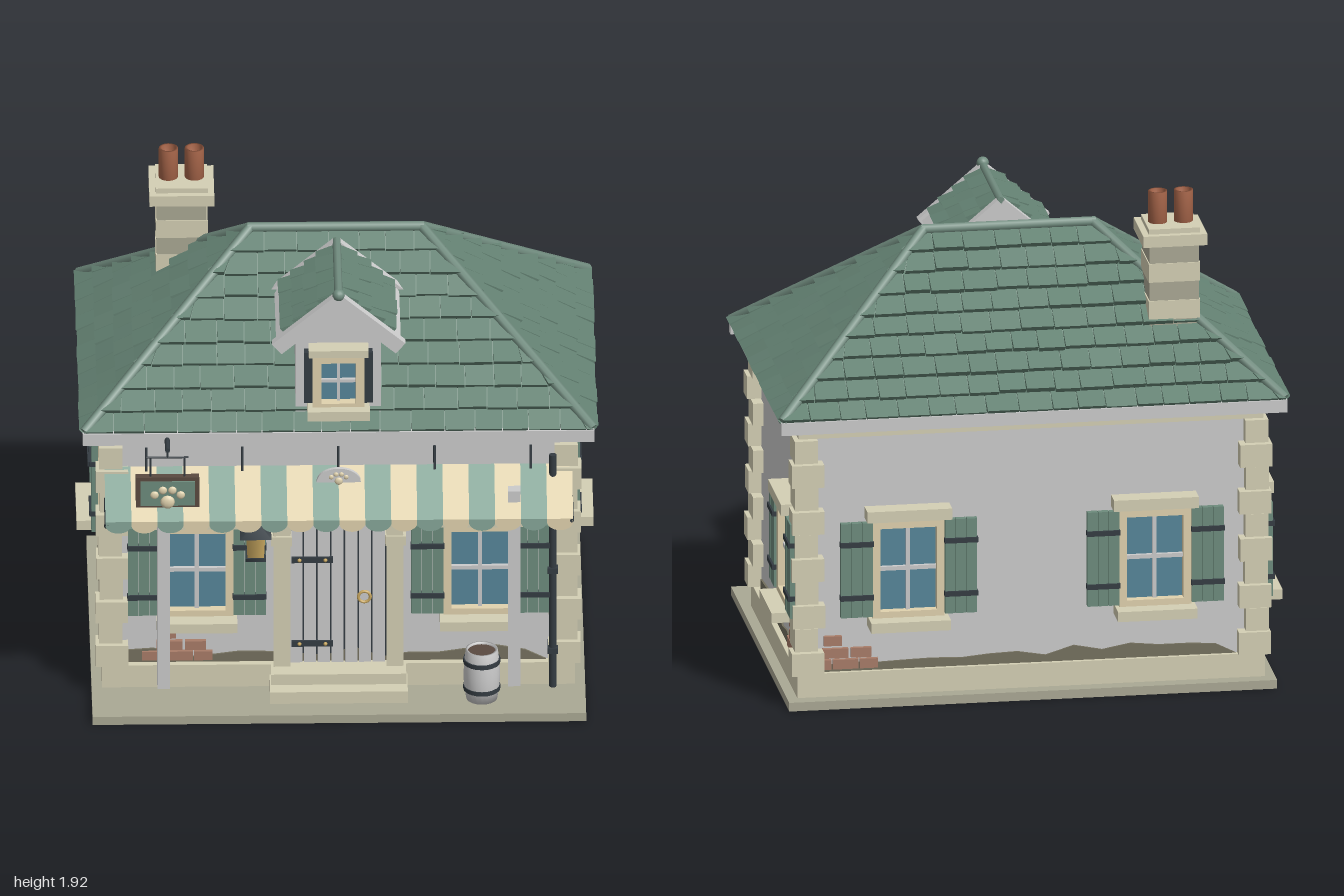
import * as THREE from 'three';
import { mergeGeometries } from 'three/addons/utils/BufferGeometryUtils.js';

const C = { wall: 0xcccccc, stone: 0xd4cfb4, slab: 0xaaa894, tile: 0x648273, ridge: 0x718c7f, green: 0x86a698, shutter: 0x6d8c7d,
  cream: 0xe0d2ae, glass: 0x56869a, iron: 0x343c42, brick: 0xa87c68, pot: 0xa8664a, dirt: 0x75715f, wood: 0x5a4a40, gold: 0xc9a860 };
const mats = {};
const mat = (c, two) => mats[c + (two ? 'd' : '')] ??= new THREE.MeshStandardMaterial({ color: c, side: two ? THREE.DoubleSide : THREE.FrontSide });

function add(parent, name, geo, color, x = 0, y = 0, z = 0, two = false) {
  const m = new THREE.Mesh(geo, mat(color, two));
  m.name = name;
  m.position.set(x, y, z);
  parent.add(m);
  return m;
}
function group(parent, name, x = 0, y = 0, z = 0, ry = 0) {
  const g = new THREE.Group();
  g.name = name;
  g.position.set(x, y, z);
  g.rotation.y = ry;
  parent.add(g);
  return g;
}
// box given by its min/max on each axis
const box = (p, name, c, x0, x1, y0, y1, z0, z1) =>
  add(p, name, new THREE.BoxGeometry(x1 - x0, y1 - y0, z1 - z0), c, (x0 + x1) / 2, (y0 + y1) / 2, (z0 + z1) / 2);
const cyl = (p, name, c, r, h, x, y, z, n = 16, r2 = r) => add(p, name, new THREE.CylinderGeometry(r2, r, h, n), c, x, y, z);
function rod(p, name, c, a, b, r) {
  const A = new THREE.Vector3(...a), B = new THREE.Vector3(...b), d = B.clone().sub(A);
  const m = cyl(p, name, c, r, d.length(), ...A.clone().add(B).multiplyScalar(0.5).toArray(), 8);
  m.quaternion.setFromUnitVectors(new THREE.Vector3(0, 1, 0), d.normalize());
  return m;
}
const extrude = (shape, depth) => new THREE.ExtrudeGeometry(shape, { depth, bevelEnabled: false, curveSegments: 12 });
const poly = pts => new THREE.Shape(pts.map(p => new THREE.Vector2(...p)));

let seed = 7;
const rnd = () => (seed = (seed * 16807) % 2147483647) / 2147483647;

// Slope of overlapping tiles: half width shrinks from w0 at the eave to w1 at the ridge
function tiles(w0, w1, len, rows, tw) {
  const list = [], hw = v => w0 + (w1 - w0) * v / len, h = len / rows;
  const piece = (x0, x1, v0, v1, low, high) => {
    const g = new THREE.BoxGeometry(1, 1, 1), p = g.attributes.position;
    for (let i = 0; i < p.count; i++) {
      const v = p.getY(i) < 0 ? v0 : v1, k = hw(v);
      const x = THREE.MathUtils.clamp(p.getX(i) < 0 ? x0 : x1, -k, k);
      p.setXYZ(i, x, v, p.getZ(i) < 0 ? -0.012 : (v === v0 ? low : high));
    }
    g.computeVertexNormals();
    list.push(g);
  };
  piece(-9, 9, 0, len, 0, 0);
  for (let r = 0; r < rows; r++) {
    const v0 = r * h, k = hw(v0);
    for (let x = -k - tw * (r % 2 ? 0.5 : 0.05); x < k;) {
      const w = tw * (0.85 + 0.3 * rnd());
      if (x + w > -k) piece(x + 0.002, x + w - 0.002, v0 - 0.008 * rnd() * (r > 0), Math.min(len, v0 + h * 1.05), 0.022 + 0.01 * rnd(), 0.003);
      x += w;
    }
  }
  return mergeGeometries(list);
}

// Window facing +z with frame, panes, sill, lintel and shutters
function makeWindow(parent, x, z, ry) {
  const g = group(parent, 'window', x, 0, z, ry);
  const f = poly([[-0.14, 0.35], [0.14, 0.35], [0.14, 0.745], [-0.14, 0.745]]);
  f.holes.push(poly([[-0.11, 0.375], [-0.11, 0.71], [0.11, 0.71], [0.11, 0.375]]));
  add(g, 'windowFrame', extrude(f, 0.06), C.cream, 0, 0, -0.01);
  box(g, 'glass', C.glass, -0.115, 0.115, 0.37, 0.715, 0, 0.015);
  box(g, 'mullion', C.wall, -0.008, 0.008, 0.375, 0.71, 0.01, 0.03);
  box(g, 'transom', C.wall, -0.11, 0.11, 0.535, 0.551, 0.01, 0.03);
  box(g, 'sill', C.stone, -0.155, 0.155, 0.31, 0.35, -0.01, 0.115);
  box(g, 'lintel', C.stone, -0.165, 0.165, 0.745, 0.79, -0.01, 0.08);
  for (const s of [-1, 1]) {
    const sh = group(g, 'shutter', s * 0.203, 0, 0.05);
    for (let i = -1; i <= 1; i++) box(sh, 'shutterBoard', C.shutter, i * 0.042 - 0.02, i * 0.042 + 0.02, 0.36, 0.74, -0.015, 0.01);
    for (const y of [0.44, 0.655]) box(sh, 'shutterStrap', C.iron, -0.065, 0.065, y - 0.01, y + 0.01, -0.01, 0.018);
  }
}

// Jagged worn plaster strip and a cluster of bare bricks on a wall
function wear(parent, x, z, ry, half, bx) {
  const g = group(parent, 'wornWall', x, 0, z, ry), pts = [[half, 0.12], [-half, 0.12]];
  for (let u = -half; u < half; u += 0.11) pts.push([u, 0.145 + 0.05 * rnd()]);
  add(g, 'dirtEdge', extrude(poly(pts.reverse()), 0.008), C.dirt);
  for (const [u, y, w] of [[-0.1, 0.16, 0.09], [0, 0.16, 0.1], [0.09, 0.16, 0.07], [-0.04, 0.205, 0.1], [0.06, 0.205, 0.08], [-0.05, 0.255, 0.07]])
    box(g, 'brick', C.brick, bx + u - w / 2, bx + u + w / 2, y - 0.019, y + 0.019, -0.005, 0.018);
}

// Row of small rounded bosses
function bosses(p, x, y, z, s) {
  for (const [u, v, r] of [[-1.5, 0.3, 0.6], [-0.55, 0.9, 0.6], [0.55, 0.9, 0.6], [1.5, 0.3, 0.6], [0, -0.6, 1]])
    add(p, 'boss', new THREE.SphereGeometry(r * s, 10, 8), C.cream, x + u * s * 1.2, y + v * s * 1.2, z).scale.z = 0.5;
}

export function createModel() {
  const m = new THREE.Group();
  m.name = 'cottage';
  const zc = -0.085;

  // Ground slab, plinth, walls, cornice
  box(m, 'groundSlab', C.slab, -0.95, 0.95, 0, 0.035, -0.72, 0.755);
  box(m, 'plinth', C.stone, -0.91, 0.91, 0.035, 0.13, -0.665, 0.515);
  box(m, 'walls', C.wall, -0.88, 0.88, 0.13, 1.14, -0.64, 0.48);
  box(m, 'cornice', C.stone, -0.905, 0.905, 1.08, 1.14, -0.665, 0.495);
  box(m, 'frontFascia', C.wall, -0.83, 0.83, 1.08, 1.15, 0.48, 0.51);
  box(m, 'soffit', C.wall, -0.975, 0.975, 1.14, 1.17, -0.73, 0.56);
  for (const z of [-0.73, 0.56]) box(m, 'gutter', C.wall, -0.985, 0.985, 1.125, 1.175, z - 0.02, z + 0.02);

  // Corner stones, alternately long and short
  for (const sx of [-1, 1]) for (const sz of [-1, 1]) for (let i = 0; i < 10; i++) {
    const a = i % 2 ? 0.09 : 0.125, b = i % 2 ? 0.125 : 0.09, o = 0.006 * rnd() + (i % 2 ? 0 : 0.012);
    add(m, 'cornerStone', new THREE.BoxGeometry(a, 0.091, b), C.stone, sx * (0.918 + o - a / 2), 0.178 + i * 0.095, zc + sz * (0.598 + o - b / 2));
  }

  // Windows and worn patches
  for (const s of [-1, 1]) {
    makeWindow(m, s * 0.545, 0.48, 0);
    makeWindow(m, s * 0.48, -0.64, Math.PI);
    makeWindow(m, s * 0.88, -0.41, s * Math.PI / 2);
  }
  wear(m, 0, 0.48, 0, 0.82, -0.61);
  wear(m, 0, -0.64, Math.PI, 0.82, -0.72);
  wear(m, 0.88, zc, Math.PI / 2, 0.5, 0.38);
  wear(m, -0.88, zc, -Math.PI / 2, 0.5, 0.28);

  // Hipped roof
  const rise = 0.545, run = 0.65, len = Math.hypot(rise, run), eave = 1.165;
  for (let i = 0; i < 4; i++) {
    const side = i % 2, g = group(m, 'roofSlope', 0, 0, zc, i * Math.PI / 2);
    const t = add(g, 'roofTiles', side ? tiles(0.65, 0, len, 9, 0.115) : tiles(0.98, 0.33, len, 9, 0.115), C.tile, 0, eave, side ? 0.98 : 0.65);
    t.rotation.x = -Math.atan2(run, rise);
  }
  const top = eave + rise + 0.008;
  rod(m, 'ridge', C.ridge, [-0.34, top, zc], [0.34, top, zc], 0.02);
  for (const sx of [-1, 1]) for (const sz of [-1, 1])
    rod(m, 'hipRidge', C.ridge, [sx * 0.33, top, zc], [sx * 0.98, eave + 0.012, zc + sz * 0.65], 0.02);

  // Chimney
  for (let i = 0; i < 6; i++) {
    const k = i % 2 ? 0.096 : 0.1;
    box(m, 'chimneyCourse', i % 2 ? C.slab : C.stone, -0.59 - k, -0.59 + k, 1.28 + i * 0.075, 1.355 + i * 0.075, -0.36 - k, -0.36 + k);
  }
  box(m, 'chimneyCap', C.stone, -0.715, -0.465, 1.73, 1.775, -0.485, -0.235);
  box(m, 'chimneyTop', C.stone, -0.69, -0.49, 1.775, 1.795, -0.46, -0.26);
  for (const x of [-0.64, -0.54]) {
    const pts = [[0, 1.78], [0.037, 1.78], [0.037, 1.92], [0.028, 1.92], [0.028, 1.85], [0, 1.85]].map(p => new THREE.Vector2(...p));
    add(m, 'chimneyPot', new THREE.LatheGeometry(pts, 20), C.pot, x, 0, -0.36, true);
  }

  // Dormer
  const d = group(m, 'dormer');
  add(d, 'dormerBody', extrude(poly([[-0.165, 1.2], [0.165, 1.2], [0.165, 1.57], [0, 1.71], [-0.165, 1.57]]), 0.38), C.wall, 0, 0, 0.12);
  const dl = Math.hypot(0.2, 0.235);
  for (const s of [-1, 1]) {
    const g = group(d, 'dormerSlope', 0, 0, 0.33, s * Math.PI / 2), p = group(g, 'dormerPitch', 0, 1.545, 0.235);
    p.rotation.x = -Math.atan2(0.235, 0.2);
    box(p, 'dormerBoard', C.wall, -0.235, 0.235, 0, dl, -0.02, 0.008);
    for (const e of [-0.22, 0.22]) box(p, 'bargeBoard', C.wall, e - 0.018, e + 0.018, -0.01, dl, -0.035, 0.022);
    add(p, 'dormerTiles', tiles(0.2, 0.2, dl - 0.05, 4, 0.11), C.tile, 0, 0.045, 0.012);
  }
  rod(d, 'dormerRidge', C.ridge, [0, 1.757, 0.1], [0, 1.757, 0.56], 0.016);
  add(d, 'finial', new THREE.SphereGeometry(0.024, 12, 10), C.ridge, 0, 1.765, 0.56);
  const df = poly([[-0.1, 1.27], [0.1, 1.27], [0.1, 1.5], [-0.1, 1.5]]);
  df.holes.push(poly([[-0.066, 1.29], [-0.066, 1.465], [0.066, 1.465], [0.066, 1.29]]));
  add(d, 'dormerWindowFrame', extrude(df, 0.07), C.cream, 0, 0, 0.49);
  box(d, 'dormerGlass', C.glass, -0.07, 0.07, 1.28, 1.47, 0.5, 0.52);
  box(d, 'dormerMullion', C.wall, -0.006, 0.006, 1.29, 1.465, 0.51, 0.535);
  box(d, 'dormerTransom', C.wall, -0.066, 0.066, 1.37, 1.382, 0.51, 0.535);
  box(d, 'dormerSill', C.stone, -0.12, 0.12, 1.235, 1.275, 0.49, 0.6);
  box(d, 'dormerLintel', C.stone, -0.115, 0.115, 1.495, 1.525, 0.49, 0.57);
  for (const s of [-1, 1]) box(d, 'dormerSideStrip', C.iron, s * 0.116 - 0.016, s * 0.116 + 0.016, 1.28, 1.5, 0.49, 0.535);

  // Arched door with stone surround and steps
  const arch = (r, c) => c.moveTo(-r, 0.13).lineTo(r, 0.13).lineTo(r, 0.69).absarc(0, 0.69, r, 0, Math.PI, false).lineTo(-r, 0.13);
  const surround = arch(0.25, new THREE.Shape());
  surround.holes.push(arch(0.185, new THREE.Path()));
  add(m, 'doorSurround', extrude(surround, 0.06), C.stone, 0, 0, 0.475);
  add(m, 'doorGrooves', extrude(arch(0.185, new THREE.Shape()), 0.01), C.iron, 0, 0, 0.477);
  for (let i = 0; i < 7; i++) {
    const x0 = -0.185 + i * 0.0529, x1 = x0 + 0.047, yt = x => 0.69 + Math.sqrt(Math.max(0, 0.185 ** 2 - x * x));
    add(m, 'doorPlank', extrude(poly([[x0, 0.13], [x1, 0.13], [x1, yt(x1)], [x0, yt(x0)]]), 0.02), C.wall, 0, 0, 0.48);
  }
  for (const y of [0.215, 0.58]) {
    box(m, 'hinge', C.iron, -0.18, -0.02, y - 0.012, y + 0.012, 0.49, 0.51);
    for (const x of [-0.15, -0.05]) add(m, 'hingeStud', new THREE.SphereGeometry(0.008, 8, 6), C.gold, x, y, 0.51);
  }
  add(m, 'doorRing', new THREE.TorusGeometry(0.023, 0.006, 8, 20), C.gold, 0.1, 0.42, 0.51);
  for (const s of [-1, 1]) box(m, 'surroundFoot', C.stone, s * 0.22 - 0.04, s * 0.22 + 0.04, 0.66, 0.7, 0.48, 0.545);
  box(m, 'lowerStep', C.stone, -0.265, 0.265, 0.03, 0.085, 0.48, 0.66);
  box(m, 'upperStep', C.stone, -0.26, 0.26, 0.085, 0.13, 0.48, 0.6);

  // Striped awning with scalloped edge, posts and brackets
  const aw = group(m, 'awning');
  const scallop = new THREE.Shape().moveTo(0.05, 0).lineTo(-0.05, 0).lineTo(-0.05, -0.02)
    .bezierCurveTo(-0.035, -0.06, 0.035, -0.06, 0.05, -0.02);
  for (let i = 0; i < 18; i++) {
    const x = -0.85 + i * 0.1, c = i % 2 ? C.cream : C.green;
    add(aw, 'awningStripe', new THREE.PlaneGeometry(0.1, Math.hypot(0.22, 0.125)), c, x, 0.928, 0.61, true).rotation.x = -Math.atan2(0.22, 0.125);
    add(aw, 'awningScallop', new THREE.ShapeGeometry(scallop), c, x, 0.866, 0.72, true);
  }
  for (const s of [-1, 1]) {
    box(aw, 'awningPost', C.wall, s * 0.675 - 0.024, s * 0.675 + 0.024, 0.1, 0.95, 0.605, 0.653);
    rod(aw, 'awningBracket', C.iron, [s * 0.895, 0.857, 0.49], [s * 0.895, 0.857, 0.72], 0.008);
    rod(aw, 'awningStrut', C.iron, [s * 0.895, 0.72, 0.5], [s * 0.895, 0.855, 0.66], 0.007);
  }
  for (const x of [-0.74, -0.37, 0, 0.37, 0.74]) rod(aw, 'awningHook', C.iron, [x, 0.98, 0.52], [x, 1.075, 0.505], 0.005);
  const plaque = add(aw, 'awningPlaque', extrude(new THREE.Shape().absarc(0, 0, 0.085, 0, Math.PI, false), 0.015), C.wall, 0, 0.96, 0.57);
  plaque.scale.y = 0.7;
  bosses(aw, 0, 0.98, 0.59, 0.016);

  // Hanging sign
  const sg = group(m, 'sign', -0.66, 0.96, 0.65);
  box(sg, 'signFrame', C.wood, -0.122, 0.122, -0.068, 0.068, -0.018, 0.012);
  box(sg, 'signFace', C.shutter, -0.105, 0.105, -0.052, 0.052, 0, 0.018);
  bosses(sg, 0, -0.015, 0.018, 0.028);
  for (const x of [-0.065, 0.065]) rod(sg, 'signHanger', C.iron, [x, 0.06, 0], [x, 0.15, 0], 0.004);
  rod(sg, 'signRail', C.iron, [-0.08, 0.15, 0], [0.08, 0.15, 0], 0.004);
  rod(sg, 'signArm', C.iron, [0, 0.19, -0.17], [0, 0.19, 0.02], 0.01);
  rod(sg, 'signLink', C.iron, [0, 0.15, 0], [0, 0.19, 0], 0.004);

  // Lantern
  const ln = group(m, 'lantern', -0.32, 0, 0.59);
  cyl(ln, 'lanternGlass', C.gold, 0.045, 0.1, 0, 0.7, 0, 4, 0.052).rotation.y = Math.PI / 4;
  cyl(ln, 'lanternRoof', C.iron, 0.085, 0.05, 0, 0.77, 0, 4, 0.015).rotation.y = Math.PI / 4;
  cyl(ln, 'lanternBase', C.iron, 0.055, 0.014, 0, 0.646, 0, 4).rotation.y = Math.PI / 4;
  rod(ln, 'lanternArm', C.iron, [0, 0.805, -0.11], [0, 0.805, 0.01], 0.007);

  // Barrel
  const br = group(m, 'barrel', 0.55, 0.035, 0.62);
  const bp = [[0, 0], [0.06, 0], [0.069, 0.06], [0.07, 0.11], [0.068, 0.16], [0.062, 0.212], [0.054, 0.212], [0.054, 0.2]].map(p => new THREE.Vector2(...p));
  add(br, 'barrelBody', new THREE.LatheGeometry(bp, 20), C.wall, 0, 0, 0, true);
  cyl(br, 'barrelLid', C.wood, 0.056, 0.01, 0, 0.198, 0, 20);
  for (const y of [0.05, 0.165]) cyl(br, 'barrelHoop', C.iron, 0.0715, 0.018, 0, y, 0, 20);

  // Drainpipe
  cyl(m, 'drainpipe', C.iron, 0.014, 1.01, 0.825, 0.545, 0.54, 12);
  for (const y of [0.2, 0.55, 0.9]) box(m, 'pipeClip', C.iron, 0.805, 0.845, y - 0.012, y + 0.012, 0.48, 0.558);
  return m;
}
